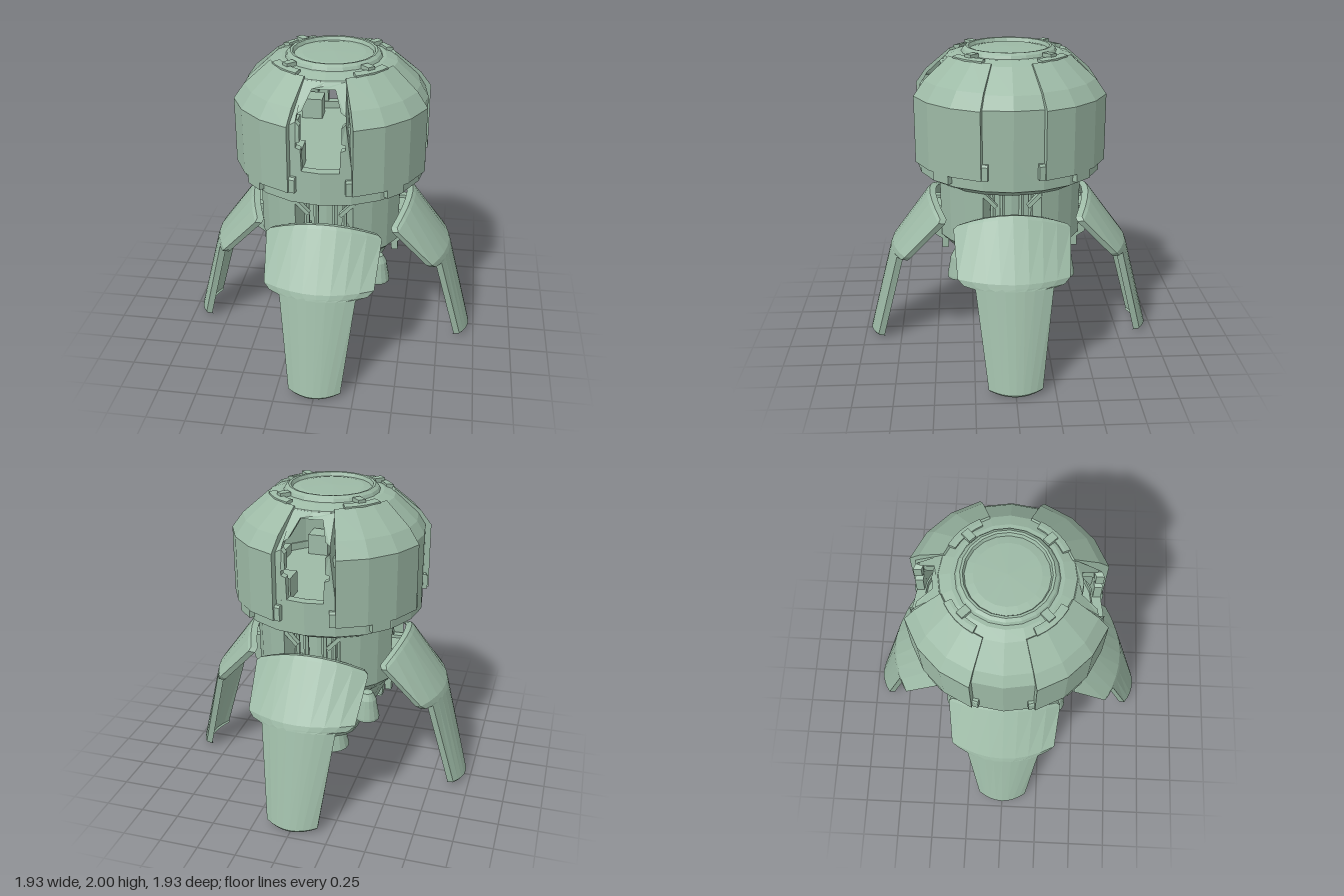
import * as THREE from 'three';

const mat = new THREE.MeshStandardMaterial({ color: 0x9dbaa6, flatShading: true, side: THREE.DoubleSide });
const V2 = (pts) => pts.map(([x, y]) => new THREE.Vector2(x, y));
const rad = THREE.MathUtils.degToRad;

function add(parent, name, geo, x = 0, y = 0, z = 0) {
  const m = new THREE.Mesh(geo, mat);
  m.name = name;
  m.position.set(x, y, z);
  parent.add(m);
  return m;
}

// Skin between closed loops; each loop is an outer line followed by the inner line reversed
function loft(loops) {
  const n = loops[0].length, pos = [], idx = [];
  loops.forEach((l) => l.forEach((p) => pos.push(...p)));
  for (let s = 0; s < loops.length - 1; s++)
    for (let i = 0; i < n; i++) {
      const a = s * n + i, b = s * n + (i + 1) % n;
      idx.push(a, b, a + n, b, b + n, a + n);
    }
  const last = (loops.length - 1) * n;
  for (let i = 0; i < n / 2 - 1; i++) {
    const a = i, b = i + 1, c = n - 2 - i, d = n - 1 - i;
    idx.push(a, c, b, a, d, c);
    idx.push(last + a, last + b, last + c, last + a, last + c, last + d);
  }
  const g = new THREE.BufferGeometry();
  g.setAttribute('position', new THREE.Float32BufferAttribute(pos, 3));
  g.setIndex(idx);
  g.computeVertexNormals();
  return g;
}

// Solid arc: outer and inner (radius, y) lines turned from angle a to b about y
function arc(outer, inner, a, b, segs) {
  const line = [...outer, ...inner.slice().reverse()];
  const loops = [];
  for (let s = 0; s <= segs; s++) {
    const t = rad(a + (b - a) * s / segs);
    loops.push(line.map(([r, y]) => [r * Math.sin(t), y, r * Math.cos(t)]));
  }
  return loft(loops);
}

// Arched leg shell; rows hold centre z, y, edge z, y and half width
function legShell(rows, dz, dy) {
  return loft(rows.map(([cz, cy, ez, ey, w]) => {
    const line = [];
    for (let i = 0; i <= 8; i++) {
      const u = i / 4 - 1, k = u * u;
      line.push([w * u, cy + (ey - cy) * k, cz + (ez - cz) * k]);
    }
    const inner = line.map(([x, y, z]) => [x * 0.96, y + dy, z + dz]).reverse();
    return [...line, ...inner];
  }));
}

// Outer wall radius at height y
function wallRadius(y) {
  if (y < 1.72) return 0.6;
  return y < 1.8 ? 0.6 - (y - 1.72) * 0.625 : 0.55 - (y - 1.8) * 1.07;
}

// Wall panel with a notched doorway, bent to follow the wall
function doorPanel() {
  const side = [[0.115, 1.43], [0.12, 1.57], [0.15, 1.58], [0.15, 1.61], [0.125, 1.62], [0.125, 1.72],
    [0.15, 1.74], [0.145, 1.78], [0.115, 1.8], [0.07, 1.9]];
  const edge = [[0.19, 1.42], [0.19, 1.57], [0.19, 1.72], [0.172, 1.8], [0.13, 1.935]];
  const ring = (pts) => V2([[0, pts[0][1]], ...pts, [0, pts[pts.length - 1][1]],
    ...pts.map(([x, y]) => [-x, y]).reverse()]);
  const shape = new THREE.Shape(ring(edge));
  shape.holes.push(new THREE.Path(ring(side)));
  const g = new THREE.ExtrudeGeometry(shape, { depth: 0.05, bevelEnabled: false });
  const p = g.attributes.position;
  for (let i = 0; i < p.count; i++)
    p.setZ(i, p.getZ(i) - 0.05 + wallRadius(p.getY(i)) - 0.158 * Math.abs(p.getX(i)));
  g.computeVertexNormals();
  return g;
}

function makeHead() {
  const g = new THREE.Group();
  g.name = 'cabin';
  // Base tray and roof
  add(g, 'cabinBase', new THREE.LatheGeometry(V2([[0, 1.155], [0.49, 1.155], [0.6, 1.215], [0.6, 1.43],
    [0.54, 1.43], [0.54, 1.38], [0, 1.38]]), 20));
  add(g, 'roof', new THREE.LatheGeometry(V2([[0.36, 1.91], [0.42, 1.915], [0.4, 1.94], [0.33, 1.965], [0.305, 1.965],
    [0.295, 1.985], [0.275, 2], [0.26, 1.998], [0.25, 1.975], [0.2, 1.985], [0, 1.99]]), 20));
  // Side walls, open at the front and back doorways
  for (const a of [18, 198])
    add(g, 'sideWall', arc([[0.6, 1.42], [0.6, 1.72], [0.55, 1.8], [0.4, 1.94]],
      [[0.55, 1.42], [0.55, 1.7], [0.5, 1.78], [0.38, 1.9]], a, a + 144, 8));

  // Doorways with blocks and beams just inside
  const panelGeo = doorPanel();
  for (const s of [0, Math.PI]) {
    const door = new THREE.Group();
    door.name = 'doorway';
    door.rotation.y = s;
    add(door, 'doorPanel', panelGeo);
    for (const x of [-1, 1]) {
      add(door, 'innerBlock', new THREE.BoxGeometry(0.14, 0.14, 0.14), x * 0.2, 1.45, 0.4);
      add(door, 'innerBeam', new THREE.BoxGeometry(0.08, 0.06, 0.16), x * 0.195, 1.675, 0.44);
    }
    g.add(door);
  }

  // Four armour plates on the diagonals
  const outer = [[0.637, 1.29], [0.637, 1.72], [0.567, 1.815], [0.4, 1.957]];
  const inner = [[0.59, 1.29], [0.59, 1.71], [0.53, 1.795], [0.38, 1.925]];
  const plateGeo = arc(outer, inner, 18, 72, 3);
  const tab = (a, b) => arc([[0.625, 1.29], [0.625, 1.375], [0.615, 1.39]],
    [[0.59, 1.29], [0.59, 1.375], [0.59, 1.39]], a, b, 1);
  for (let i = 0; i < 4; i++) {
    const p = new THREE.Group();
    p.name = 'armour';
    p.rotation.y = i * Math.PI / 2;
    add(p, 'armourPlate', plateGeo);
    add(p, 'armourTab', tab(14.5, 18));
    add(p, 'armourTab', tab(72, 75.5));
    // Clip under the plate, arc and latch at the roof rim
    add(p, 'lowerClip', new THREE.BoxGeometry(0.13, 0.06, 0.05), 0.425, 1.263, 0.425).rotation.y = Math.PI / 4;
    add(p, 'rimArc', arc([[0.4, 1.94], [0.4, 1.965], [0.37, 1.972]], [[0.35, 1.94], [0.35, 1.96], [0.35, 1.972]], 27, 63, 4));
    add(p, 'rimLatch', new THREE.BoxGeometry(0.05, 0.035, 0.07), 0.238, 1.973, 0.238).rotation.y = Math.PI / 4;
    g.add(p);
  }
  return g;
}

function makeEngine() {
  const g = new THREE.Group();
  g.name = 'engineSection';
  add(g, 'neckCore', new THREE.CylinderGeometry(0.35, 0.35, 0.5, 16), 0, 0.91, 0);
  add(g, 'lowerHull', new THREE.LatheGeometry(V2([[0, 0.73], [0.41, 0.72], [0.39, 0.66], [0.32, 0.52],
    [0.195, 0.275], [0.18, 0.245], [0.1, 0.23], [0, 0.23]]), 16));
  add(g, 'mainNozzle', new THREE.LatheGeometry(V2([[0.1, 0.24], [0.095, 0.19], [0.122, 0.08],
    [0.1, 0.08], [0.075, 0.18], [0, 0.18]]), 16));
  const blockGeo = arc([[0.49, 1.16], [0.485, 0.78], [0.41, 0.7]], [[0.3, 1.16], [0.3, 0.78], [0.3, 0.69]], 22, 68, 3);
  const podGeo = new THREE.LatheGeometry(V2([[0, 0.745], [0.035, 0.735], [0.058, 0.69], [0.066, 0.64], [0.08, 0.565],
    [0.08, 0.55], [0.066, 0.55], [0.045, 0.62], [0, 0.62]]), 14);
  for (let i = 0; i < 4; i++) {
    const q = new THREE.Group();
    q.name = 'engineQuarter';
    q.rotation.y = i * Math.PI / 2;
    add(q, 'neckBlock', blockGeo);
    add(q, 'thruster', podGeo, 0.335, 0, 0.335);
    add(q, 'thrusterMount', new THREE.BoxGeometry(0.07, 0.07, 0.16), 0.285, 0.675, 0.285).rotation.y = Math.PI / 4;
    // Pipes and braces in the open bay
    for (const x of [-0.12, -0.06, 0.06, 0.12])
      add(q, 'pipe', new THREE.CylinderGeometry(0.018, 0.018, 0.42, 6), x, 0.95, 0.38);
    for (const s of [-1, 1])
      add(q, 'brace', new THREE.BoxGeometry(0.025, 0.13, 0.04), s * 0.145, 1.11, 0.43).rotation.z = -s * 0.75;
    g.add(q);
  }
  return g;
}

function makeLeg() {
  const g = new THREE.Group();
  g.name = 'leg';
  // Wide upper shield stepping in at the knee to the tapering foot
  add(g, 'legShell', legShell([[0.53, 1.04, 0.455, 0.95, 0.345], [0.55, 1.02, 0.465, 0.93, 0.37],
    [0.79, 0.69, 0.69, 0.69, 0.348], [0.8, 0.665, 0.715, 0.655, 0.31], [0.805, 0.65, 0.75, 0.645, 0.24],
    [0.965, 0.025, 0.905, 0.035, 0.168], [0.955, 0.01, 0.9, 0.025, 0.162]], -0.04, -0.01));
  // Hinge between the leg and the neck
  const shape = new THREE.Shape(V2([[0.33, 0.95], [0.5, 0.95], [0.52, 0.85], [0.5, 0.77], [0.45, 0.735],
    [0.45, 0.67], [0.41, 0.67], [0.4, 0.77], [0.33, 0.8]]));
  const hingeGeo = new THREE.ExtrudeGeometry(shape, { depth: 0.05, bevelEnabled: false });
  hingeGeo.rotateY(-Math.PI / 2);
  for (const x of [-0.1, 0.15]) add(g, 'hingeBracket', hingeGeo, x, 0, 0);
  add(g, 'hingeBlock', new THREE.BoxGeometry(0.3, 0.1, 0.18), 0, 0.88, 0.45);
  return g;
}

export function createModel() {
  const model = new THREE.Group();
  model.name = 'landerPod';
  model.add(makeHead(), makeEngine());
  for (let i = 0; i < 4; i++) {
    const leg = makeLeg();
    leg.rotation.y = i * Math.PI / 2;
    model.add(leg);
  }
  return model;
}
